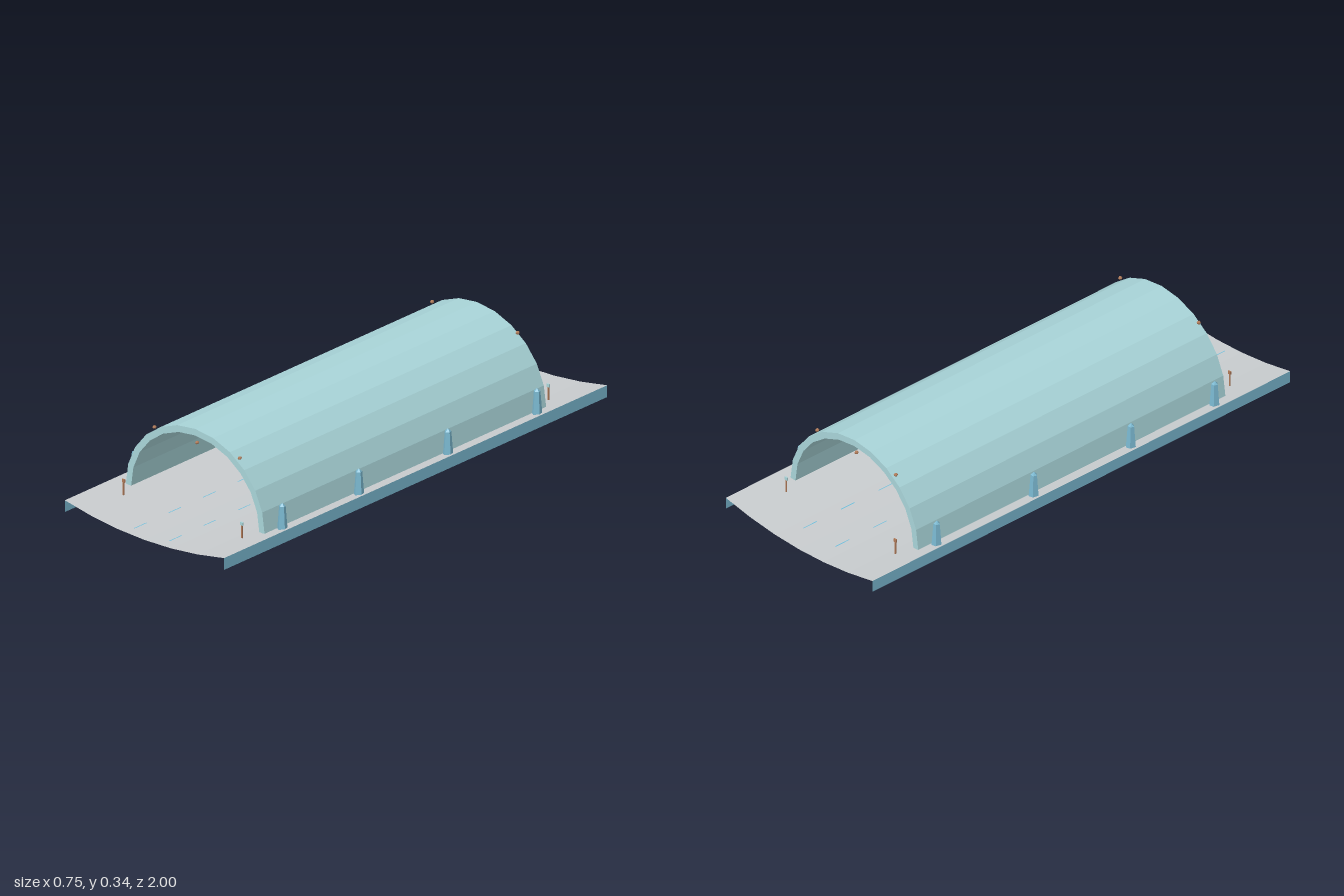
import * as THREE from 'three';

const flat = (name, color, double = false) => {
  const m = new THREE.MeshStandardMaterial({ color, flatShading: true });
  m.name = name;
  if (double) m.side = THREE.DoubleSide;
  return m;
};

export function createModel() {
  const group = new THREE.Group();
  const shellMat = flat('paleTeal', 0xa8d4d8);
  const deckMat = flat('lightGrey', 0xc8ccce, true);
  const blueMat = flat('blue', 0x7ab8d0, true);
  const stripeMat = flat('brightBlue', 0x70bedb, true);
  const bronzeMat = flat('bronze', 0xb07a58);

  const add = (name, geo, mat, x = 0, y = 0, z = 0) => {
    const mesh = new THREE.Mesh(geo, mat);
    mesh.name = name;
    mesh.position.set(x, y, z);
    group.add(mesh);
    return mesh;
  };

  // Shallow trough-shaped deck, a thin sheet
  const W = 0.373;
  const deck = new THREE.PlaneGeometry(2 * W, 2, 6, 1).rotateX(-Math.PI / 2);
  const p = deck.attributes.position;
  for (let i = 0; i < p.count; i++) p.setY(i, 0.004 + 0.041 * (p.getX(i) / W) ** 2);
  deck.computeVertexNormals();
  add('deck', deck, deckMat);

  // Half-round tunnel shell, twelve facets
  const arc = (rx, ry, reverse) => Array.from({ length: 13 }, (_, i) => {
    const a = (reverse ? 12 - i : i) * Math.PI / 12;
    return new THREE.Vector2(rx * Math.cos(a), 0.035 + ry * Math.sin(a));
  });
  const section = new THREE.Shape([...arc(0.325, 0.305, false), ...arc(0.3, 0.28, true)]);
  const shell = new THREE.ExtrudeGeometry(section, { depth: 1.47, bevelEnabled: false });
  add('tunnelShell', shell, shellMat, 0, 0, -0.735);

  // Parts repeated on both sides
  const skirtGeo = new THREE.PlaneGeometry(2, 0.045);
  const pillarGeo = new THREE.CylinderGeometry(0.012, 0.02, 0.1, 5);
  const tipGeo = new THREE.ConeGeometry(0.012, 0.012, 5);
  const postGeo = new THREE.BoxGeometry(0.005, 0.052, 0.004);
  const headGeo = new THREE.BoxGeometry(0.012, 0.012, 0.005);
  const stripeGeo = new THREE.PlaneGeometry(0.004, 0.065).rotateX(-Math.PI / 2);
  for (const s of [-1, 1]) {
    add('sideSkirt', skirtGeo, blueMat, s * W, 0.0225, 0).rotation.y = s * Math.PI / 2;

    // Tapered pillars with pointed tips
    for (const z of [-0.665, -0.2, 0.265, 0.665]) {
      add('pillar', pillarGeo, blueMat, s * 0.345, 0.075, z);
      add('pillarTip', tipGeo, blueMat, s * 0.345, 0.131, z);
    }

    // Marker posts outside both tunnel mouths
    for (const z of [-0.8, 0.8]) {
      add('markerPost', postGeo, bronzeMat, s * 0.278, 0.051, z);
      add('markerHead', headGeo, s > 0 ? shellMat : bronzeMat, s * 0.277, 0.082, z);
    }

    // Dashed lane lines
    for (let k = 0; k < 11; k++) {
      add('laneDash', stripeGeo, stripeMat, s * 0.082, 0.0115, -0.87 + 0.18 * k);
    }
  }

  // Small lamps at each mouth
  const lampGeo = new THREE.SphereGeometry(0.0078, 6, 4).scale(1, 0.8, 1);
  for (const z of [-0.725, 0.725]) {
    for (const x of [-0.2, 0, 0.2]) add('mouthLamp', lampGeo, bronzeMat, x, 0.285, z);
  }

  return group;
}
